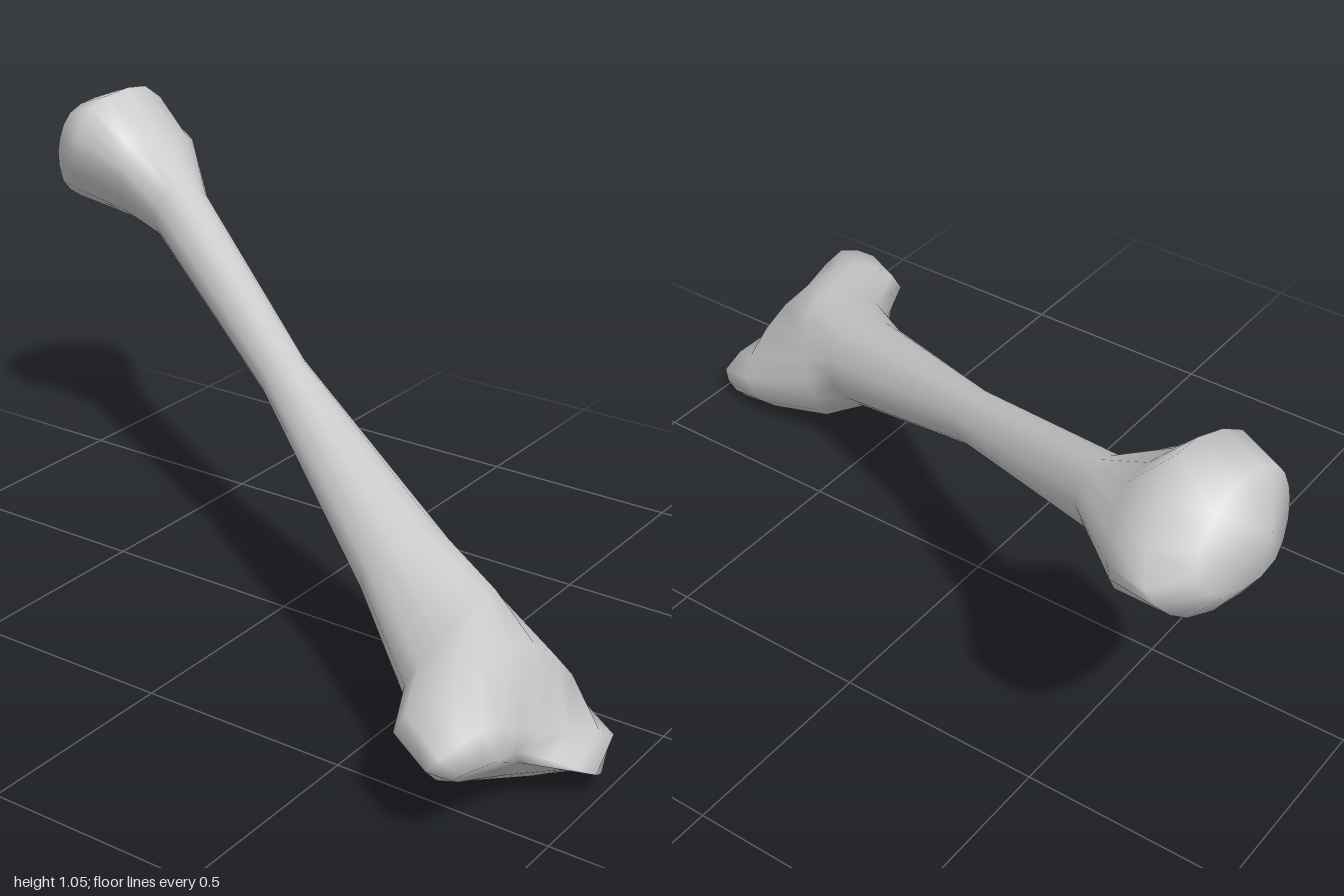
import * as THREE from 'three';

const SIDES = 18;
const P = (x, y, z) => new THREE.Vector3(x, y, z);

// Directions across the slanting shaft
const across = P(-0.49, 0, 0.87);
const upward = P(0.32, 0.94, 0.17);

// Six control points of an oval shaft section
function oval(center, a, b) {
  return Array.from({ length: 6 }, (_, i) => {
    const t = (i * Math.PI) / 3;
    return center.clone()
      .addScaledVector(across, a * Math.cos(t))
      .addScaledVector(upward, b * Math.sin(t));
  });
}

// Lofts closed smooth rings into one skin, closing each end with a fan
function loft(sections, startTip, endTip) {
  const pos = [], index = [];
  for (const s of sections) {
    const curve = new THREE.CatmullRomCurve3(s, true, 'centripetal');
    for (let j = 0; j < SIDES; j++) pos.push(...curve.getPoint(j / SIDES).toArray());
  }
  const last = (sections.length - 1) * SIDES;
  const start = last + SIDES, end = start + 1;
  pos.push(...startTip.toArray(), ...endTip.toArray());
  for (let j = 0; j < SIDES; j++) {
    const k = (j + 1) % SIDES;
    for (let r = 0; r < last; r += SIDES) {
      index.push(r + j, r + SIDES + j, r + k, r + k, r + SIDES + j, r + SIDES + k);
    }
    index.push(start, j, k, end, last + k, last + j);
  }
  const g = new THREE.BufferGeometry();
  g.setAttribute('position', new THREE.Float32BufferAttribute(pos, 3));
  g.setIndex(index);
  g.computeVertexNormals();
  return g;
}

export function createModel() {
  // Section order: front, top front, top back, back, bottom back, bottom front
  const upperHead = [
    [P(-0.965, 0.88, -0.335), P(-0.95, 0.98, -0.37), P(-0.93, 1.0, -0.5),
      P(-0.93, 0.88, -0.62), P(-0.96, 0.8, -0.56), P(-0.97, 0.77, -0.38)],
    [P(-0.89, 0.89, -0.31), P(-0.86, 1.01, -0.35), P(-0.82, 1.04, -0.52),
      P(-0.87, 0.86, -0.69), P(-0.92, 0.77, -0.62), P(-0.95, 0.75, -0.4)],
    [P(-0.75, 0.84, -0.33), P(-0.76, 0.94, -0.36), P(-0.72, 0.93, -0.52),
      P(-0.77, 0.85, -0.66), P(-0.77, 0.74, -0.6), P(-0.81, 0.71, -0.44)],
  ];
  const shaft = [
    oval(P(-0.61, 0.765, -0.4), 0.075, 0.085),
    oval(P(-0.07, 0.54, -0.1), 0.06, 0.065),
    oval(P(0.46, 0.31, 0.18), 0.115, 0.105),
  ];
  // Flared lower end: two knuckles with a groove between them
  const lowerKnuckles = [
    [P(0.64, 0.22, 0.47), P(0.7, 0.34, 0.36), P(0.7, 0.35, 0.22),
      P(0.62, 0.22, 0.12), P(0.62, 0.08, 0.18), P(0.62, 0.1, 0.36)],
    [P(0.71, 0.21, 0.62), P(0.78, 0.31, 0.52), P(0.83, 0.29, 0.28),
      P(0.86, 0.12, 0.14), P(0.8, 0.03, 0.18), P(0.75, 0.06, 0.4)],
    [P(0.83, 0.2, 0.69), P(0.9, 0.27, 0.6), P(0.91, 0.17, 0.4),
      P(0.97, 0.08, 0.18), P(0.92, 0.0, 0.2), P(0.84, 0.04, 0.4)],
    [P(0.87, 0.18, 0.66), P(0.92, 0.2, 0.58), P(0.9, 0.13, 0.42),
      P(1.0, 0.06, 0.31), P(0.97, 0.03, 0.24), P(0.87, 0.08, 0.44)],
  ];

  const bone = new THREE.Mesh(
    loft([...upperHead, ...shaft, ...lowerKnuckles], P(-1.0, 0.91, -0.47), P(0.89, 0.11, 0.43)),
    new THREE.MeshStandardMaterial({ color: 0xcccccc, side: THREE.DoubleSide }),
  );
  bone.name = 'bone';

  const group = new THREE.Group();
  group.name = 'longBone';
  group.add(bone);
  return group;
}
